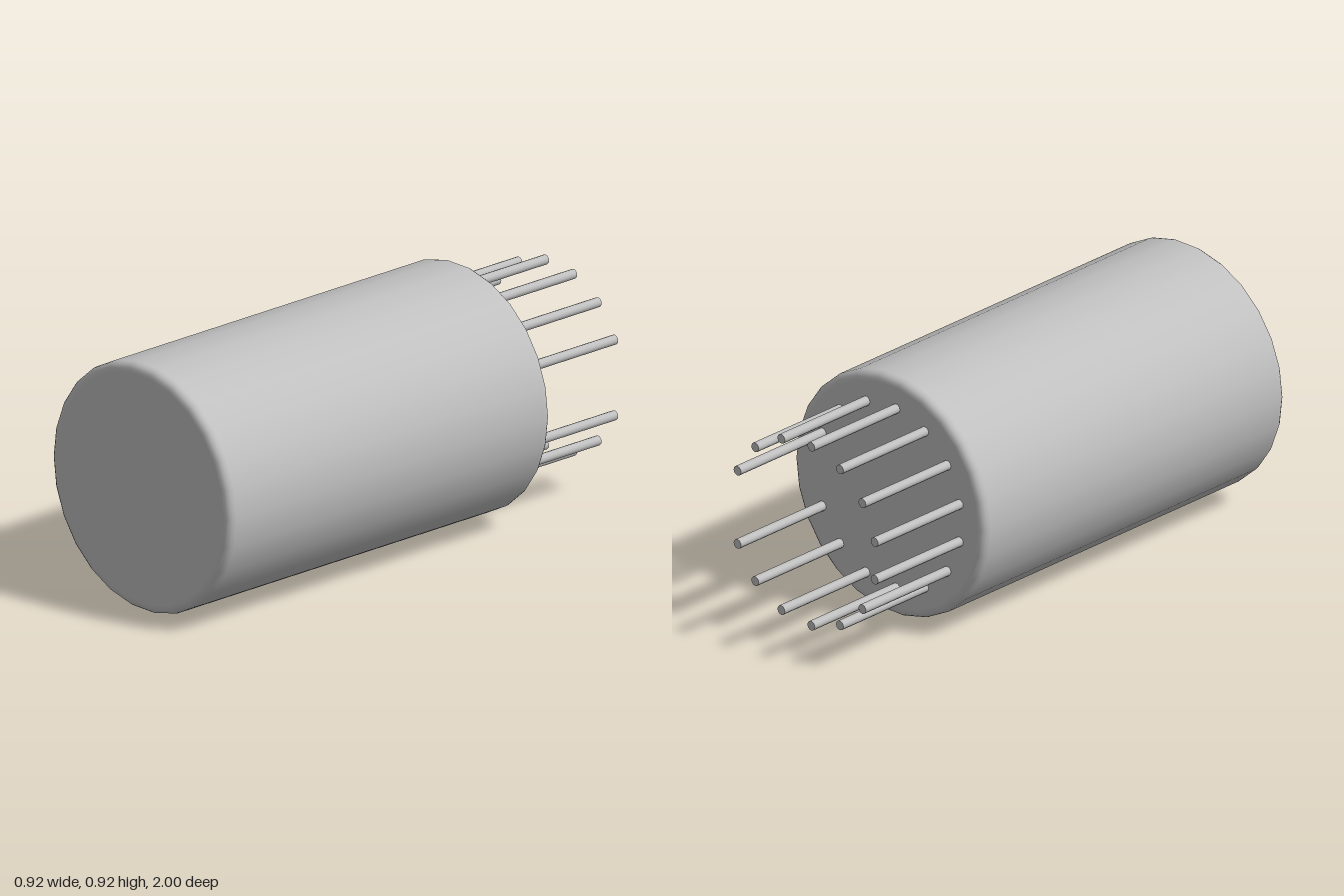
import * as THREE from 'three';

const CENTRE_Y = 0.459;
const BODY_RADIUS = 0.462;
const BACK_Z = -0.56;
const FRONT_Z = 1;
const BEVEL = 0.03;

// Closed cylinder profile with quarter-round rims, running from back to front.
function bodyProfile() {
  const inner = BODY_RADIUS - BEVEL;
  const points = [new THREE.Vector2(0, BACK_Z), new THREE.Vector2(inner - 0.005, BACK_Z)];
  const steps = 4;
  for (let i = 0; i <= steps; i++) {
    const a = (i / steps) * Math.PI / 2;
    points.push(new THREE.Vector2(inner + BEVEL * Math.sin(a), BACK_Z + BEVEL * (1 - Math.cos(a))));
  }
  // extra rings keep the long wall evenly shaded
  points.push(new THREE.Vector2(BODY_RADIUS, BACK_Z + BEVEL + 0.005));
  points.push(new THREE.Vector2(BODY_RADIUS, FRONT_Z - BEVEL - 0.005));
  for (let i = 0; i <= steps; i++) {
    const a = (i / steps) * Math.PI / 2;
    points.push(new THREE.Vector2(inner + BEVEL * Math.cos(a), FRONT_Z - BEVEL * (1 - Math.sin(a))));
  }
  points.push(new THREE.Vector2(inner - 0.005, FRONT_Z), new THREE.Vector2(0, FRONT_Z));
  return points;
}

export function createModel() {
  const model = new THREE.Group();
  model.name = 'pinnedCylinder';

  const grey = new THREE.MeshStandardMaterial({ color: 0xc0c0c0 });
  grey.name = 'lightGrey';

  // Body, lying along z
  const bodyGeometry = new THREE.LatheGeometry(bodyProfile(), 26, Math.PI / 2);
  bodyGeometry.rotateX(Math.PI / 2);
  const body = new THREE.Mesh(bodyGeometry, grey);
  body.name = 'body';
  body.position.y = CENTRE_Y;
  model.add(body);

  // Fourteen pins on a fifteen-step circle, leaving the key gap at +x
  const pins = new THREE.Group();
  pins.name = 'pins';
  const pinEnd = -1;
  const pinStart = BACK_Z + 0.01;
  const pinGeometry = new THREE.CylinderGeometry(0.018, 0.018, pinStart - pinEnd, 12);
  pinGeometry.rotateX(Math.PI / 2);
  for (let i = 1; i < 15; i++) {
    const angle = (i / 15) * Math.PI * 2;
    const pin = new THREE.Mesh(pinGeometry, grey);
    pin.name = 'pin' + i;
    pin.position.set(
      0.35 * Math.cos(angle),
      CENTRE_Y + 0.35 * Math.sin(angle),
      (pinStart + pinEnd) / 2
    );
    pins.add(pin);
  }
  model.add(pins);

  return model;
}
